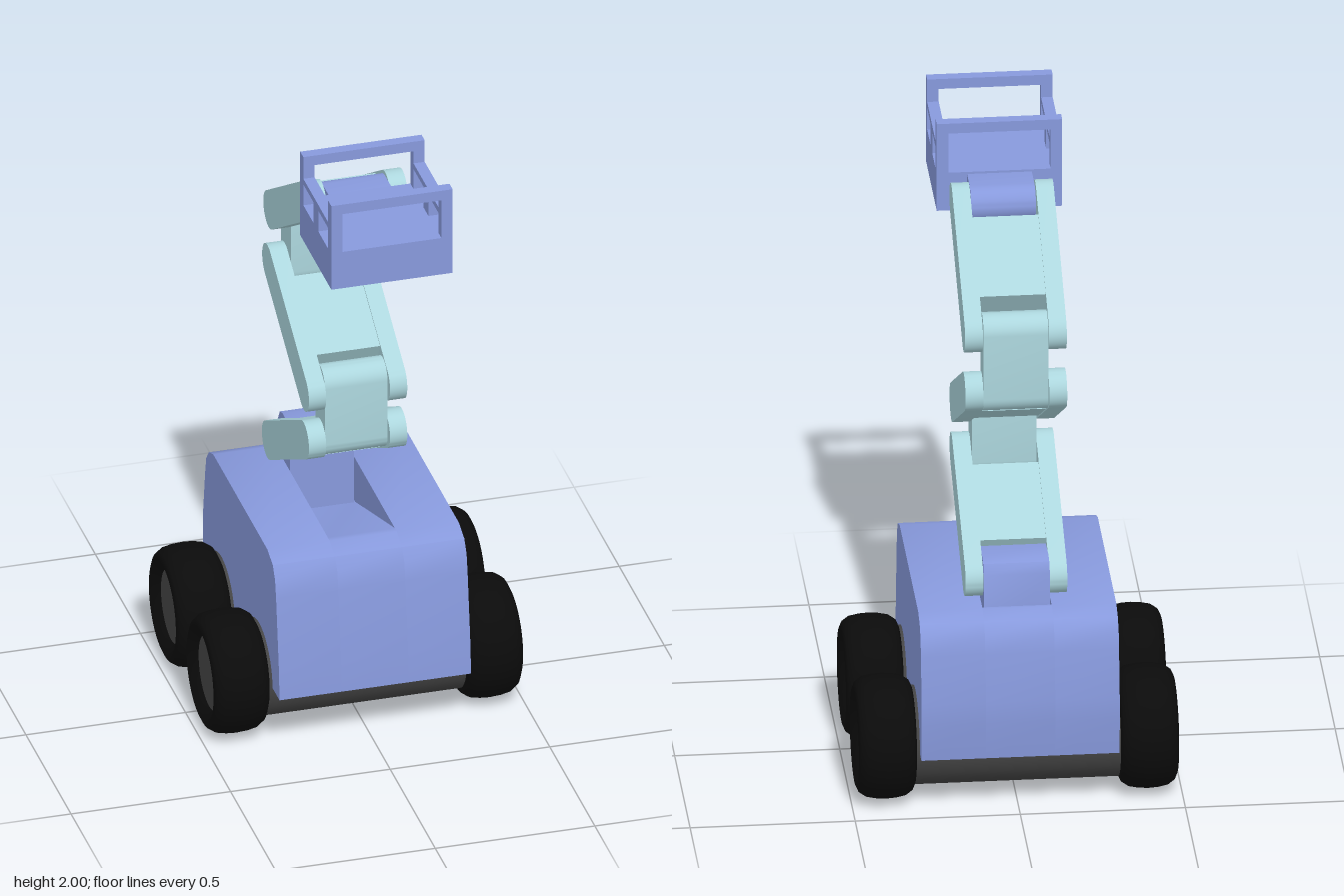
import * as THREE from 'three';
import { toCreasedNormals } from 'three/addons/utils/BufferGeometryUtils.js';

const mat = (color, side = THREE.FrontSide) => new THREE.MeshStandardMaterial({ color, side });

export function createModel() {
  const model = new THREE.Group();
  const blue = mat(0x8799dc), teal = mat(0xacd6dd), grey = mat(0x444444);
  const rubber = mat(0x0b0b0b, THREE.DoubleSide);

  const add = (parent, name, geometry, material, x = 0, y = 0, z = 0) => {
    const mesh = new THREE.Mesh(geometry, material);
    mesh.name = name;
    mesh.position.set(x, y, z);
    parent.add(mesh);
    return mesh;
  };
  const box = (parent, name, material, x0, x1, y0, y1, z0, z1) =>
    add(parent, name, new THREE.BoxGeometry(x1 - x0, y1 - y0, z1 - z0), material,
      (x0 + x1) / 2, (y0 + y1) / 2, (z0 + z1) / 2);

  // Side outline in (z, y), extruded across x from x0 to x1
  const sideExtrude = (shape, x0, x1, crease = 0.6) => {
    const g = new THREE.ExtrudeGeometry(shape, { depth: x1 - x0, bevelEnabled: false, curveSegments: 10 });
    g.rotateY(-Math.PI / 2).translate(x1, 0, 0);
    return toCreasedNormals(g, crease);
  };
  const polygon = (points) => new THREE.Shape(points.map(([z, y]) => new THREE.Vector2(z, y)));

  // Rounded link between two pivots (z, y)
  const linkShape = ([z0, y0], [z1, y1], r) => {
    const a = Math.atan2(y1 - y0, z1 - z0);
    const shape = new THREE.Shape();
    shape.absarc(z1, y1, r, a - Math.PI / 2, a + Math.PI / 2, false);
    shape.absarc(z0, y0, r, a + Math.PI / 2, a + Math.PI * 1.5, false);
    shape.closePath();
    return shape;
  };

  // Body: two side slabs and a middle slab with a sloping slot in its top
  const front = [[-0.505, 0.2], [0.335, 0.2], [0.328, 0.3], [0.297, 0.53], [0.285, 0.59], [0.26, 0.628], [0.2, 0.65]];
  const back = [[-0.4, 0.65], [-0.45, 0.63], [-0.478, 0.595], [-0.49, 0.54], [-0.513, 0.39], [-0.515, 0.32]];
  const slot = [[0.18, 0.65], [-0.26, 0.5], [-0.39, 0.5], [-0.39, 0.65]];
  const body = new THREE.Group();
  body.name = 'body';
  model.add(body);
  add(body, 'bodySideLeft', sideExtrude(polygon([...front, ...back]), 0.105, 0.3), blue);
  add(body, 'bodySideRight', sideExtrude(polygon([...front, ...back]), -0.3, -0.105), blue);
  add(body, 'bodyMiddle', sideExtrude(polygon([...front, ...slot, ...back]), -0.105, 0.105), blue);

  // Pedestal that carries the lift
  const pedestal = polygon([[-0.255, 0.48], [-0.255, 0.79], [-0.34, 0.795], [-0.37, 0.785], [-0.388, 0.755], [-0.388, 0.48]]);
  add(model, 'pedestal', sideExtrude(pedestal, -0.1, 0.1), blue);

  // Axles and wheels
  const tyreProfile = [
    [0.115, -0.06], [0.15, -0.088], [0.168, -0.08], [0.182, -0.06], [0.188, -0.03], [0.19, 0],
    [0.188, 0.03], [0.182, 0.06], [0.168, 0.08], [0.15, 0.088], [0.115, 0.06],
  ].map(([r, h]) => new THREE.Vector2(r, h));
  const tyre = new THREE.LatheGeometry(tyreProfile, 40).rotateZ(-Math.PI / 2);
  const hub = new THREE.CylinderGeometry(0.117, 0.117, 0.12, 40).rotateZ(Math.PI / 2);
  const axle = new THREE.CylinderGeometry(0.15, 0.15, 0.66, 40).rotateZ(Math.PI / 2);
  for (const z of [0.108, -0.31]) {
    add(model, 'axle', axle, grey, 0, 0.195, z);
    for (const s of [-1, 1]) {
      const wheel = new THREE.Group();
      wheel.name = 'wheel';
      wheel.position.set(s * 0.397, 0.195, z);
      add(wheel, 'tyre', tyre, rubber);
      add(wheel, 'hub', hub, grey);
      model.add(wheel);
    }
  }

  // Folding lift: three arms, each two side links with a cross block between
  const arms = [
    [[-0.318, 0.722], [0.085, 0.945]],
    [[0.085, 1.11], [-0.315, 1.34]],
    [[-0.302, 1.53], [0.09, 1.777]],
  ];
  for (const [a, b] of arms) {
    const arm = new THREE.Group();
    arm.name = 'liftArm';
    const shape = linkShape(a, b, 0.06);
    add(arm, 'linkLeft', sideExtrude(shape, 0.1, 0.154), teal);
    add(arm, 'linkRight', sideExtrude(shape, -0.154, -0.1), teal);
    const dz = b[0] - a[0], dy = b[1] - a[1], length = Math.hypot(dz, dy);
    const block = add(arm, 'crossBlock', new THREE.BoxGeometry(0.21, 0.112, length - 0.18), teal,
      0, (a[1] + b[1]) / 2, (a[0] + b[0]) / 2);
    block.rotation.x = -Math.atan2(dy, dz);
    model.add(arm);
  }

  // Upright knuckles joining the arms, and the basket mount
  add(model, 'lowerKnuckle', sideExtrude(linkShape([0.07, 0.938], [0.07, 1.13], 0.054), -0.098, 0.098), teal);
  add(model, 'upperKnuckle', sideExtrude(linkShape([-0.308, 1.33], [-0.308, 1.54], 0.054), -0.098, 0.098), teal);
  add(model, 'basketMount', sideExtrude(linkShape([0.095, 1.771], [0.2, 1.771], 0.058), -0.098, 0.098), blue);

  // Basket: solid floor tray, tall end frames, lower side rails with a middle post
  const basket = new THREE.Group();
  basket.name = 'basket';
  model.add(basket);
  box(basket, 'basketFloor', blue, -0.19, 0.19, 1.71, 1.833, 0.175, 0.52);
  const frame = new THREE.Shape([[-0.19, 1.833], [0.19, 1.833], [0.19, 2], [-0.19, 2]].map((p) => new THREE.Vector2(...p)));
  frame.holes.push(new THREE.Path([[-0.155, 1.836], [-0.155, 1.967], [0.155, 1.967], [0.155, 1.836]].map((p) => new THREE.Vector2(...p))));
  const frameGeometry = new THREE.ExtrudeGeometry(frame, { depth: 0.035, bevelEnabled: false });
  add(basket, 'frontFrame', frameGeometry, blue, 0, 0, 0.485);
  add(basket, 'backFrame', frameGeometry, blue, 0, 0, 0.175);
  for (const s of [-1, 1]) {
    const x0 = s > 0 ? 0.155 : -0.19, x1 = x0 + 0.035;
    box(basket, 'sideRail', blue, x0, x1, 1.905, 1.925, 0.21, 0.485);
    box(basket, 'sidePost', blue, x0, x1, 1.833, 1.905, 0.32, 0.375);
  }
  return model;
}
